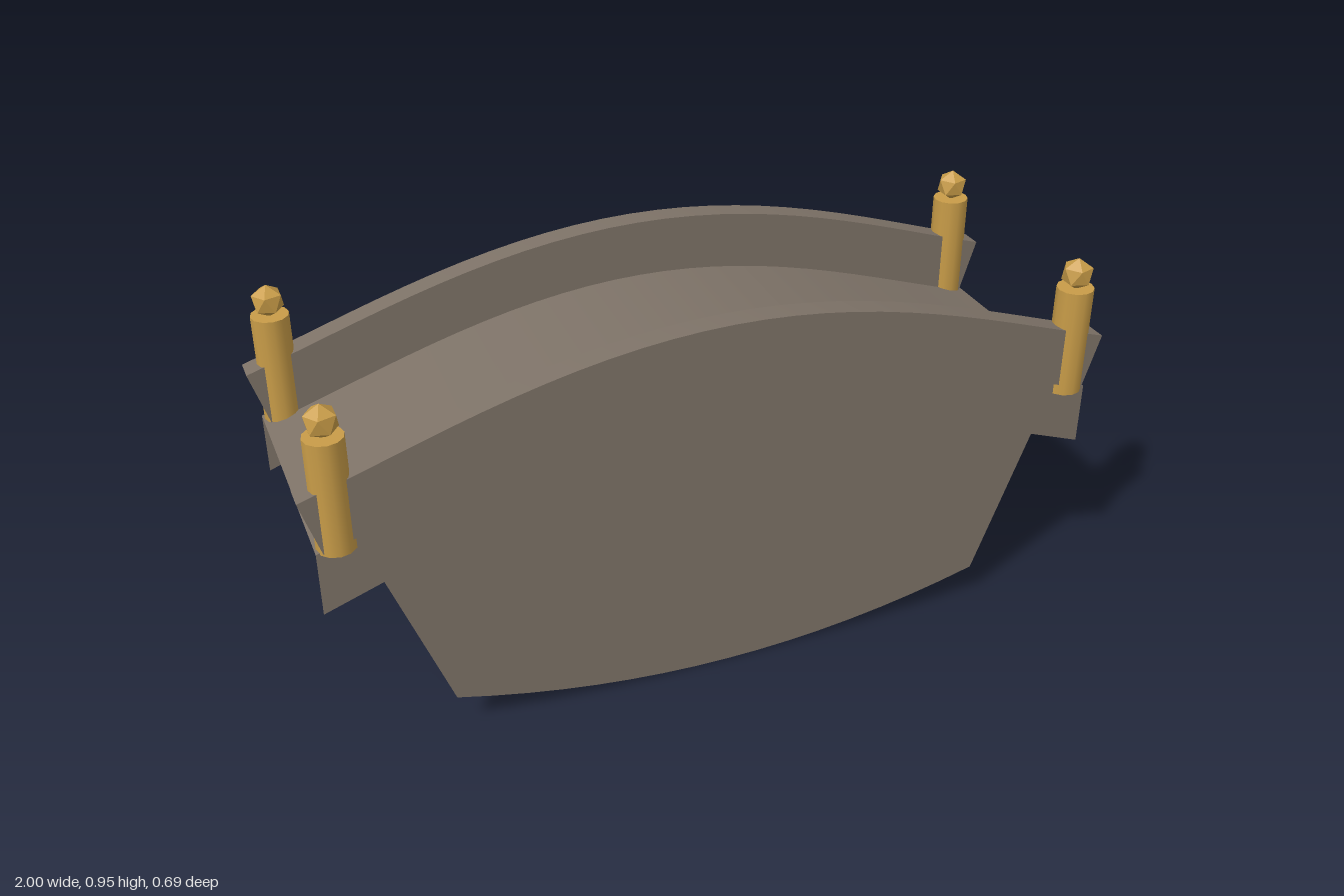
import * as THREE from 'three';
import { toCreasedNormals } from 'three/addons/utils/BufferGeometryUtils.js';

const STEPS = 28;
const WALL_Z = 0.32, RAIL_Z = 0.3, POST_X = 0.925;

// Height and slope of the arched walkway
const deckY = (x) => 0.805 - 0.32 * x * x + 0.087 * x ** 4;
const slope = (x) => -0.64 * x + 0.348 * x ** 3;

// Points along the arch from -end to end, pushed out along its normal
function archPoints(end, offset) {
  const points = [];
  for (let i = 0; i <= STEPS; i++) {
    const x = -end + (2 * end * i) / STEPS;
    const s = slope(x), len = Math.hypot(1, s);
    points.push(new THREE.Vector2(x - (s / len) * offset, deckY(x) + offset / len));
  }
  return points;
}

export function createModel() {
  const stone = new THREE.MeshStandardMaterial({ color: 0x7d7267, side: THREE.DoubleSide });
  stone.name = 'stone';
  const gold = new THREE.MeshStandardMaterial({ color: 0xc89c48 });
  gold.name = 'gold';

  const bridge = new THREE.Group();
  bridge.name = 'archedBridge';
  const add = (name, geometry, material, x = 0, y = 0, z = 0) => {
    const mesh = new THREE.Mesh(geometry, material);
    mesh.name = name;
    mesh.position.set(x, y, z);
    bridge.add(mesh);
    return mesh;
  };

  // Walkway: a thin sheet bent along the arch
  const deck = new THREE.PlaneGeometry(1.95, WALL_Z * 2, STEPS, 1).rotateX(-Math.PI / 2);
  const pos = deck.attributes.position;
  for (let i = 0; i < pos.count; i++) pos.setY(i, deckY(pos.getX(i)));
  deck.computeVertexNormals();
  add('deck', deck, stone);

  // Side wall outline: arch on top, stepped ends, shallow curved foot
  const outline = archPoints(0.975, 0);
  outline.push(new THREE.Vector2(0.975, 0.42), new THREE.Vector2(0.835, 0.47));
  for (let i = 0; i <= 16; i++) {
    const t = 1 - i / 8;
    outline.push(new THREE.Vector2(0.695 * t, 0.095 * t * t));
  }
  outline.push(new THREE.Vector2(-0.835, 0.47), new THREE.Vector2(-0.975, 0.42));
  const wall = new THREE.ShapeGeometry(new THREE.Shape(outline));

  // Parapet: a band of even height following the arch
  const band = new THREE.Shape([...archPoints(0.96, 0), ...archPoints(0.96, 0.145).reverse()]);
  const parapet = toCreasedNormals(
    new THREE.ExtrudeGeometry(band, { depth: 0.06, bevelEnabled: false }).translate(0, 0, -0.03), 0.5);

  // Corner post and faceted finial with one point upward
  const post = new THREE.CylinderGeometry(0.046, 0.046, 0.28, 12);
  const finial = new THREE.IcosahedronGeometry(0.041, 0).rotateZ(Math.atan(2 / (1 + Math.sqrt(5))));

  for (const side of [1, -1]) {
    const label = side > 0 ? 'front' : 'back';
    add(label + 'Wall', wall, stone, 0, 0, side * WALL_Z);
    add(label + 'Parapet', parapet, stone, 0, 0, side * RAIL_Z);
    for (const end of [1, -1]) {
      const corner = label + (end > 0 ? 'Left' : 'Right');
      add(corner + 'Post', post, gold, end * POST_X, 0.718, side * RAIL_Z);
      add(corner + 'Finial', finial, gold, end * POST_X, 0.894, side * RAIL_Z);
    }
  }
  return bridge;
}
